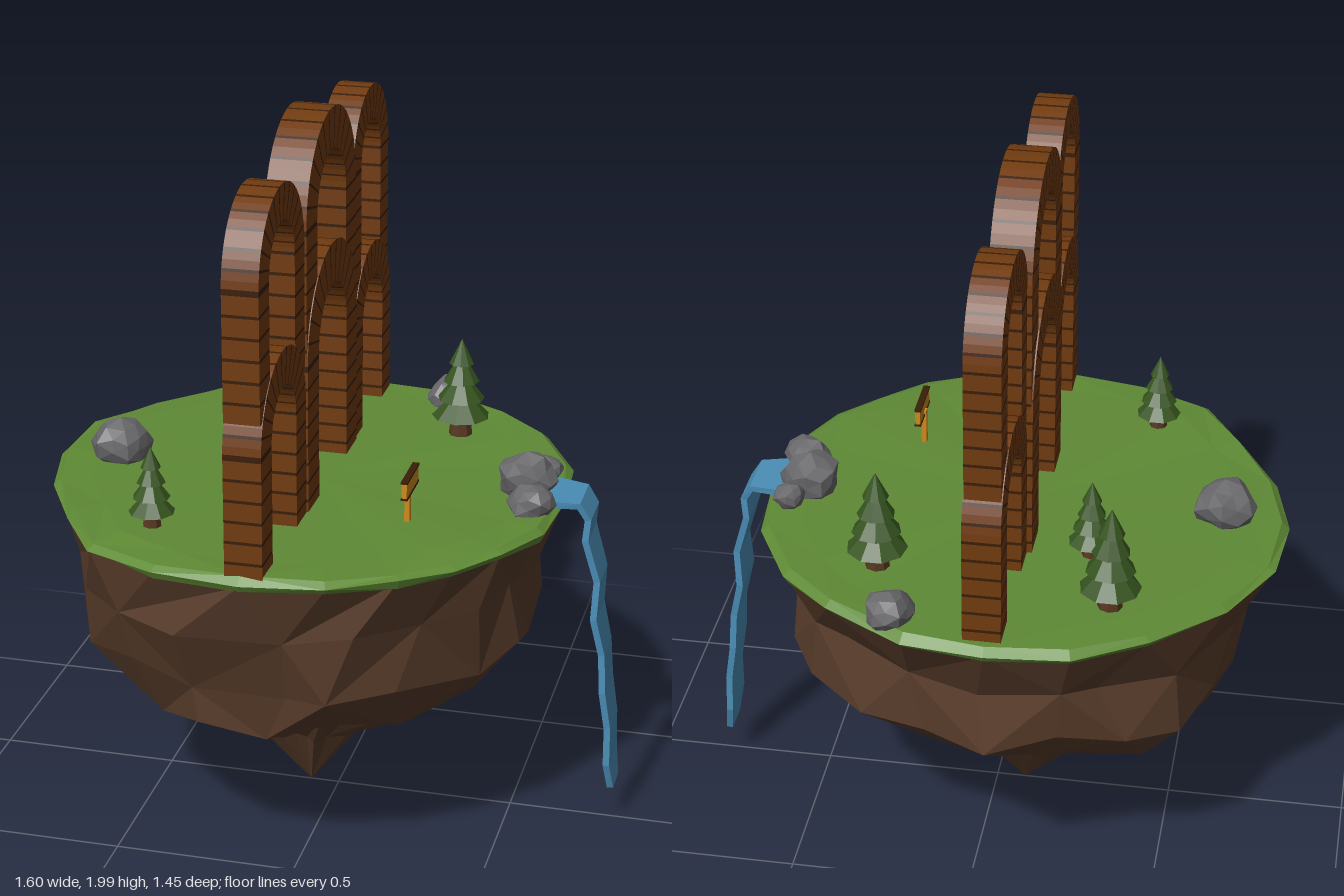
import * as THREE from 'three';
import { mergeGeometries } from 'three/addons/utils/BufferGeometryUtils.js';

const mat = (name, color) => new THREE.MeshStandardMaterial({ name, color });
const hash = (i, j) => {
  const s = Math.sin(i * 127.1 + j * 311.7) * 43758.5453;
  return (s - Math.floor(s)) * 2 - 1;
};

// Faceted skin over closed cross-sections, listed from top to bottom
function loft(rings) {
  const pos = [];
  for (let i = 0; i < rings.length - 1; i++) {
    const n = rings[i].length;
    for (let j = 0; j < n; j++) {
      const k = (j + 1) % n;
      const a = rings[i][j], b = rings[i][k], c = rings[i + 1][j], d = rings[i + 1][k];
      pos.push(...((i + j) % 2 ? [a, b, c, b, d, c] : [a, b, d, a, d, c]).flat());
    }
  }
  const g = new THREE.BufferGeometry();
  g.setAttribute('position', new THREE.Float32BufferAttribute(pos, 3));
  g.computeVertexNormals();
  return g;
}

// Flat-faced copy of a built-in geometry
function facet(g) {
  const f = g.index ? g.toNonIndexed() : g;
  f.computeVertexNormals();
  return f;
}

export function createModel() {
  const root = new THREE.Group();
  root.name = 'floatingIsland';
  const M = {
    grass: mat('grass green', 0x5f8a35), earth: mat('earth brown', 0x593d2b),
    brick: mat('brick brown', 0x713b10), joint: mat('dark joint', 0x3a1e08),
    stone: mat('stone grey', 0x68686b), water: mat('water blue', 0x4a8db5),
    leaf: mat('pine green', 0x36541f), trunk: mat('trunk brown', 0x573821),
    sign: mat('sign orange', 0xcf8a1c),
  };
  const add = (parent, name, geo, material, x = 0, y = 0, z = 0) => {
    const m = new THREE.Mesh(geo, material);
    m.name = name;
    m.position.set(x, y, z);
    parent.add(m);
    return m;
  };

  // Island outline (x, z), clockwise from the right side
  const CX = -0.08;
  const outline = [
    [0.63, 0], [0.61, 0.22], [0.53, 0.38], [0.43, 0.5], [0.31, 0.6], [0.14, 0.69], [-0.08, 0.72],
    [-0.32, 0.69], [-0.52, 0.6], [-0.64, 0.41], [-0.75, 0.21], [-0.8, 0], [-0.78, -0.23],
    [-0.67, -0.42], [-0.49, -0.6], [-0.3, -0.7], [-0.08, -0.73], [0.14, -0.7], [0.36, -0.58],
    [0.5, -0.45], [0.61, -0.24]];
  const rim = (s, y, dy) => outline.map(([x, z], j) =>
    [CX + (x - CX) * s, y + dy * hash(j, Math.round(y * 100)), z * s]);

  // Turf with an uneven lip
  add(root, 'grassTop', loft([rim(0, 0.966, 0), rim(0.85, 0.966, 0.003), rim(0.97, 0.964, 0.007),
    rim(1, 0.95, 0.008), rim(0.985, 0.932, 0.008)]), M.grass);

  // Rock underside: height and radius towards +x, +z, -x, -z
  const levels = [
    [0.77, 0.63, 0.68, 0.63, 0.63, 0.03], [0.6, 0.62, 0.63, 0.64, 0.62, 0.035],
    [0.45, 0.5, 0.58, 0.54, 0.48, 0.03], [0.32, 0.33, 0.22, 0.37, 0.26, 0.03],
    [0.19, 0.14, 0.09, 0.18, 0.14, 0.015], [0.01, 0, 0, 0, 0, 0]];
  const n = outline.length;
  const rockRings = levels.map(([y, px, pz, nx, nz, jit], i) => outline.map((_, j) => {
    const t = ((j + hash(i, j + 40) * 0.25) / n) * Math.PI * 2;
    const c = Math.cos(t), s = Math.sin(t);
    const r = (c > 0 ? px : nx) * c * c + (s > 0 ? pz : nz) * s * s + jit * hash(i + 5, j);
    return [CX + r * c, y + jit * hash(i + 9, j), r * s];
  }));
  add(root, 'rockUnderside', loft([rim(0.99, 0.945, 0.006), ...rockRings]), M.earth);

  // Brick arch in the z-y plane: courses of blocks with dark joints
  function arch(name, zc, R, r, base, spring, x0, x1) {
    const brick = [], joint = [];
    const block = (list, pts) => {
      const g = new THREE.ExtrudeGeometry(new THREE.Shape(pts.map(p => new THREE.Vector2(...p))),
        { depth: x1 - x0, bevelEnabled: false });
      list.push(g.rotateY(Math.PI / 2).translate(x0, 0, zc));
    };
    const rect = (a, b, y0, y1) => [[a, y0], [b, y0], [b, y1], [a, y1]];
    const sector = (t0, t1, steps) => {
      const at = (rad, t) => [rad * Math.cos(t), spring + rad * Math.sin(t)];
      const pts = [];
      for (let k = 0; k <= steps; k++) pts.push(at(R, t0 + (t1 - t0) * k / steps));
      for (let k = steps; k >= 0; k--) pts.push(at(r, t0 + (t1 - t0) * k / steps));
      return pts;
    };
    const rows = Math.round((spring - base) / 0.056), h = (spring - base) / rows;
    for (const [a, b] of [[-R, -r], [r, R]]) {
      for (let i = 0; i < rows; i++) {
        const y = base + i * h;
        block(brick, rect(a, b, y, y + h - 0.008));
        block(joint, rect(a, b, y + h - 0.008, y + h));
      }
    }
    const count = 13, step = Math.PI / count, gap = 0.008 / R;
    for (let i = 0; i < count; i++) {
      const t = i * step;
      block(brick, sector(t, t + step - gap, 2));
      block(joint, sector(t + step - gap, t + step, 1));
    }
    const g = new THREE.Group();
    g.name = name;
    add(g, 'bricks', mergeGeometries(brick), M.brick);
    add(g, 'joints', mergeGeometries(joint), M.joint);
    root.add(g);
  }
  arch('lowerCentreArch', 0.002, 0.264, 0.15, 0.95, 1.37, -0.134, -0.015);
  arch('upperCentreArch', 0.002, 0.262, 0.152, 1.37, 1.738, -0.13, -0.018);
  arch('lowerFrontArch', 0.483, 0.216, 0.118, 0.95, 1.289, -0.12, -0.02);
  arch('upperFrontArch', 0.483, 0.214, 0.12, 1.38, 1.722, -0.117, -0.022);
  arch('lowerBackArch', -0.472, 0.214, 0.118, 0.95, 1.267, -0.12, -0.02);
  arch('upperBackArch', -0.452, 0.206, 0.112, 1.37, 1.735, -0.117, -0.022);

  // Pines: trunk and four stacked cones
  for (const [x, z, r, top] of [[-0.37, -0.47, 0.082, 1.26], [-0.29, -0.24, 0.062, 1.19],
    [0.26, -0.38, 0.082, 1.25], [-0.39, 0.45, 0.062, 1.19]]) {
    const tree = new THREE.Group(), h = top - 0.96;
    tree.name = 'pineTree';
    tree.position.set(x, 0.96, z);
    add(tree, 'trunk', facet(new THREE.CylinderGeometry(r * 0.28, r * 0.42, h * 0.4, 8)), M.trunk, 0, h * 0.19, 0);
    for (let i = 0; i < 4; i++) {
      const y0 = h * (0.21 + i * 0.18), ch = h * (i === 3 ? 0.25 : 0.3);
      const c = add(tree, 'foliageTier', facet(new THREE.ConeGeometry(r * (1 - i * 0.19), ch, 9)),
        M.leaf, 0, y0 + ch / 2, 0);
      c.rotation.y = i * 0.5;
    }
    root.add(tree);
  }

  // Boulders: dented icosahedra
  [[-0.62, 0.01, 0.083, 1.0], [0.18, -0.61, 0.066, 0.985], [0.515, -0.03, 0.08, 1.0],
    [0.555, 0.1, 0.064, 0.985], [0.555, -0.125, 0.045, 0.99]].forEach(([x, z, r, y], i) => {
    const g = new THREE.IcosahedronGeometry(r, 1), p = g.attributes.position;
    for (let v = 0; v < p.count; v++) {
      const q = new THREE.Vector3().fromBufferAttribute(p, v);
      const key = Math.round(q.x / r * 50) + Math.round(q.y / r * 50) * 3;
      q.multiplyScalar(1 + 0.13 * hash(key, Math.round(q.z / r * 50) + i * 7));
      p.setXYZ(v, q.x, q.y * 0.85, q.z);
    }
    add(root, 'boulder', facet(g), M.stone, x, y, z);
  });

  // Waterfall: x, y, half width along the flow
  const flow = [[0.52, 0.972, 0.07], [0.6, 0.974, 0.085], [0.675, 0.97, 0.07], [0.7, 0.93, 0.064],
    [0.695, 0.87, 0.068], [0.73, 0.75, 0.062], [0.725, 0.64, 0.069], [0.75, 0.53, 0.06],
    [0.757, 0.42, 0.068], [0.774, 0.31, 0.063], [0.776, 0.2, 0.068], [0.787, 0.12, 0.045]];
  const sections = flow.map(([x, y, w], i) => {
    const a = flow[Math.max(i - 1, 0)], b = flow[Math.min(i + 1, flow.length - 1)];
    const len = Math.hypot(b[0] - a[0], b[1] - a[1]), t = 0.009;
    const nx = -(b[1] - a[1]) / len * t, ny = (b[0] - a[0]) / len * t, zc = -0.007;
    return [[x + nx, y + ny, zc - w], [x + nx, y + ny, zc + w],
      [x - nx, y - ny, zc + w], [x - nx, y - ny, zc - w]];
  });
  const cap = s => s.map(() => [0, 1, 2].map(k => (s[0][k] + s[2][k]) / 2));
  add(root, 'waterfall', loft([cap(sections[0]), ...sections, cap(sections.at(-1))]), M.water);

  // Blank signpost facing the waterfall
  const sign = new THREE.Group();
  sign.name = 'signpost';
  add(sign, 'post', new THREE.BoxGeometry(0.014, 0.12, 0.018), M.sign, 0.252, 1.01, 0.256);
  add(sign, 'board', new THREE.BoxGeometry(0.014, 0.05, 0.138), M.sign, 0.258, 1.08, 0.257);
  for (const y of [1.057, 1.103])
    add(sign, 'boardEdge', new THREE.BoxGeometry(0.018, 0.006, 0.14), M.joint, 0.258, y, 0.257);
  root.add(sign);

  return root;
}
